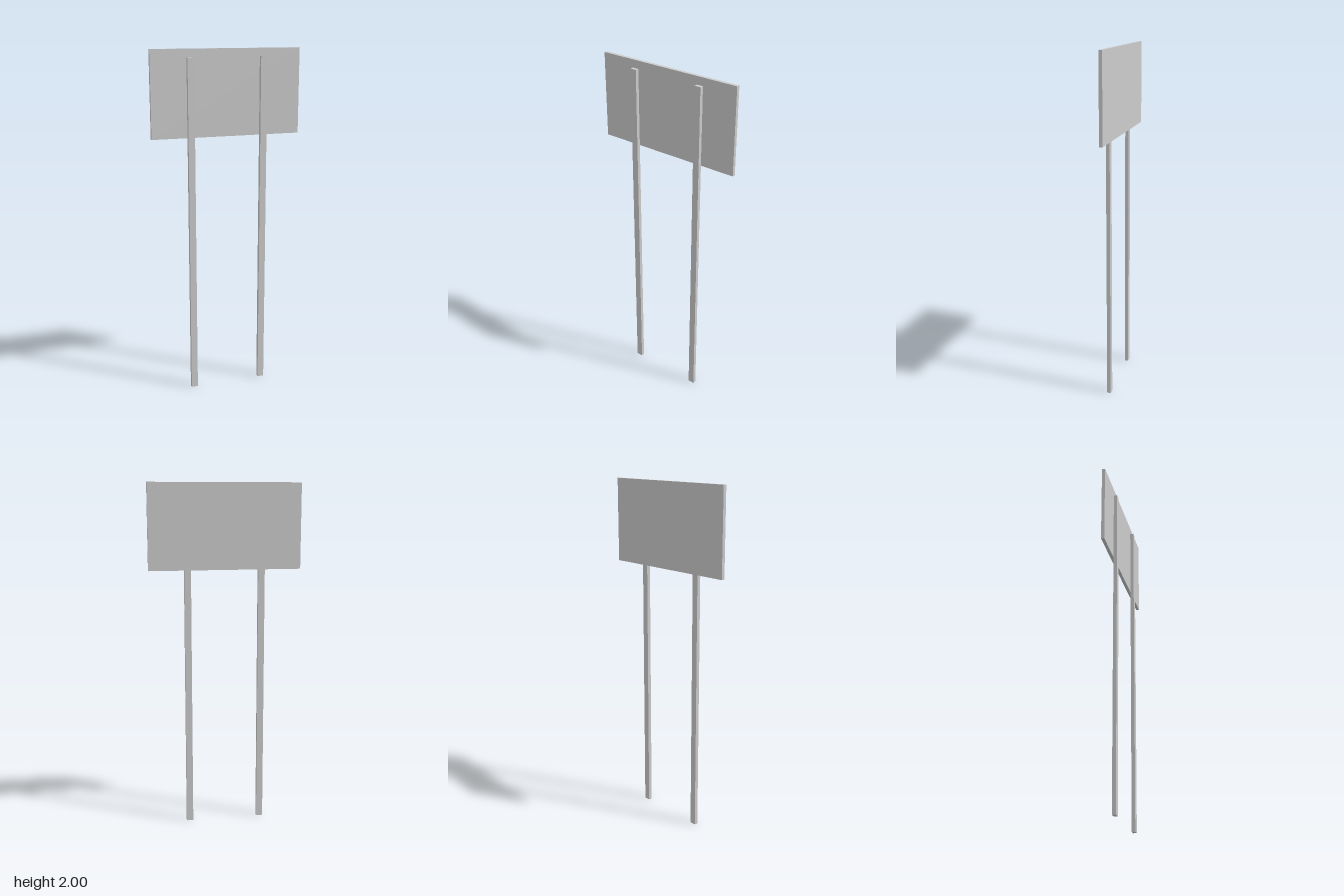
import * as THREE from 'three';

const material = new THREE.MeshStandardMaterial({ color: 0xcccccc, flatShading: true });

// Box given by its lower and upper limits on each axis
function box(name, [x0, x1], [y0, y1], [z0, z1]) {
  const mesh = new THREE.Mesh(new THREE.BoxGeometry(x1 - x0, y1 - y0, z1 - z0), material);
  mesh.position.set((x0 + x1) / 2, (y0 + y1) / 2, (z0 + z1) / 2);
  mesh.name = name;
  return mesh;
}

export function createModel() {
  const model = new THREE.Group();
  model.name = 'signboard';
  const seam = -0.001; // plane where the panel meets the posts

  // Sign panel, fixed behind the posts
  model.add(box('panel', [-0.438, 0.438], [1.514, 2], [-0.02, seam]));

  // Two flat posts, mirrored about the centre
  for (const side of [-1, 1]) {
    const x = side * 0.214;
    model.add(box(side > 0 ? 'leftPost' : 'rightPost', [x - 0.019, x + 0.019], [0, 1.955], [seam, 0.02]));
  }
  return model;
}
